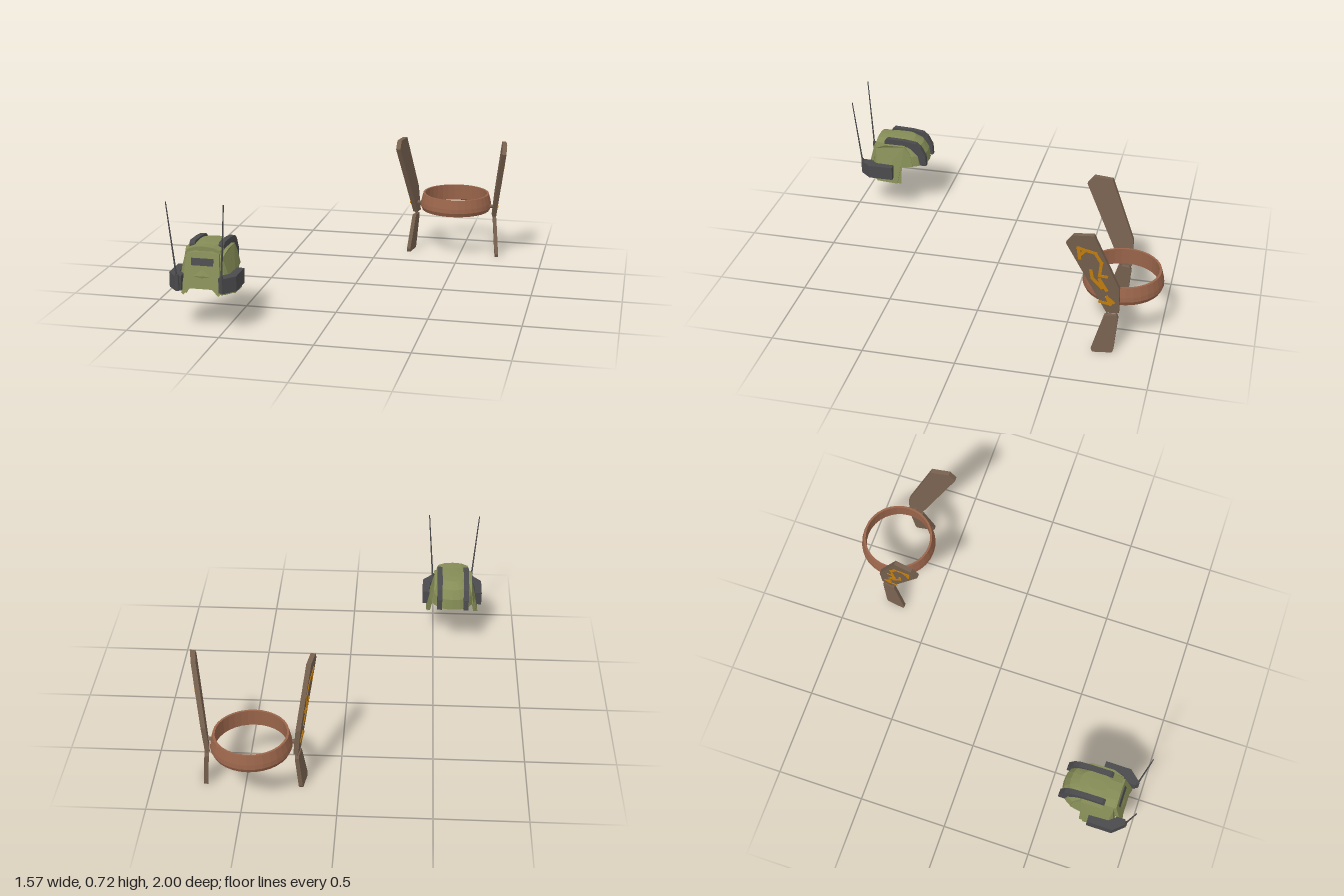
import * as THREE from 'three';
import { mergeGeometries } from 'three/addons/utils/BufferGeometryUtils.js';

const mat = (color, side = THREE.FrontSide) => new THREE.MeshStandardMaterial({ color, side, flatShading: true });
const WOOD = mat(0x99644a), PLATE = mat(0x77614f), GOLD = mat(0xc8820e);
const GREEN = mat(0x858c56), OPEN_GREEN = mat(0x858c56, THREE.DoubleSide), DARK = mat(0x4b4b4d);

// Move every vertex by a rule; flip the winding when the rule mirrors.
function warp(geo, rule, flip = false) {
  const g = geo.index ? geo.toNonIndexed() : geo;
  const p = g.attributes.position;
  for (let i = 0; i < p.count; i++) p.setXYZ(i, ...rule(p.getX(i), p.getY(i), p.getZ(i)));
  if (flip) {
    for (let i = 0; i < p.count; i += 3) {
      const a = [p.getX(i), p.getY(i), p.getZ(i)];
      p.setXYZ(i, p.getX(i + 1), p.getY(i + 1), p.getZ(i + 1));
      p.setXYZ(i + 1, ...a);
    }
  }
  g.computeVertexNormals();
  return g;
}

const slab = (points, depth) => new THREE.ExtrudeGeometry(
  new THREE.Shape(points.map(([a, b]) => new THREE.Vector2(a, b))), { depth, bevelEnabled: false });

// Side-on slab: points are (z, y); offset(z, y) is its distance from the centre plane.
const sideSlab = (points, depth, cx, s, offset) => warp(slab(points, depth),
  (u, v, w) => [cx + s * (offset(u, v) + w), v, u], s > 0);

function createModel() {
  const root = new THREE.Group();
  const add = (parent, name, geo, material) => {
    const m = new THREE.Mesh(geo, material);
    m.name = name;
    parent.add(m);
    return m;
  };
  const rod = (parent, name, a, b, r0, r1, material) => {
    const A = new THREE.Vector3(...a), B = new THREE.Vector3(...b), d = B.clone().sub(A);
    const m = add(parent, name, new THREE.CylinderGeometry(r1, r0, d.length(), 8), material);
    m.position.copy(A).add(B).multiplyScalar(0.5);
    m.quaternion.setFromUnitVectors(new THREE.Vector3(0, 1, 0), d.normalize());
  };

  // ---- Headband with winged side plates ----
  const band = new THREE.Group();
  band.name = 'headband';
  root.add(band);
  const bx = 0.457, bz = -0.785;
  const ringProfile = [[0.19, 0.27], [0.206, 0.262], [0.216, 0.285], [0.213, 0.31], [0.2, 0.362], [0.188, 0.362], [0.19, 0.27]];
  add(band, 'ring', new THREE.LatheGeometry(ringProfile.map(([r, y]) => new THREE.Vector2(r, y)), 32), WOOD)
    .position.set(bx, 0, bz);

  const upper = [[-0.528, 0.673], [-0.565, 0.72], [-0.667, 0.72], [-0.8, 0.389], [-0.8, 0.238], [-0.737, 0.238]];
  const lower = [[-0.726, 0.222], [-0.79, 0.222], [-0.798, 0.205], [-0.782, 0.012], [-0.775, 0], [-0.675, 0], [-0.667, 0.02]];
  const upperX = (z, y) => 0.224 + 0.095 * (y - 0.24) + 0.15 * (z + 0.77);
  const lowerX = (z, y) => 0.231 - 0.07 * (y - 0.22) + 0.15 * (z + 0.76);
  // Inlay strokes in (z, y)
  const strokes = [
    [[-0.597, 0.582], [-0.59, 0.645], [-0.675, 0.615], [-0.706, 0.556], [-0.698, 0.475], [-0.733, 0.47]],
    [[-0.597, 0.6], [-0.62, 0.625]],
    [[-0.655, 0.505], [-0.662, 0.46], [-0.71, 0.4], [-0.7, 0.45], [-0.734, 0.385]],
    [[-0.703, 0.31], [-0.755, 0.295], [-0.738, 0.34], [-0.77, 0.305]],
  ];
  const inlayQuads = [];
  for (const line of strokes) {
    for (let i = 1; i < line.length; i++) {
      const [a, b] = line[i - 1], [c, d] = line[i];
      const l = Math.hypot(c - a, d - b), ux = (c - a) / l * 0.008, uy = (d - b) / l * 0.008;
      inlayQuads.push([[a - ux - uy, b - uy + ux], [c + ux - uy, d + uy + ux], [c + ux + uy, d + uy - ux], [a - ux + uy, b - uy - ux]]);
    }
  }
  for (const s of [1, -1]) {
    const side = s > 0 ? 'left' : 'right';
    add(band, side + 'UpperPlate', sideSlab(upper, 0.026, bx, s, upperX), PLATE);
    add(band, side + 'LowerPlate', sideSlab(lower, 0.022, bx, s, lowerX), PLATE);
    add(band, side + 'Inlay', mergeGeometries(inlayQuads.map(
      q => sideSlab(q, 0.004, bx, s, (z, y) => upperX(z, y) + 0.0245))), GOLD);
    for (const z of [-0.737, -0.787])
      rod(band, side + 'Link', [bx + s * 0.24, 0.215, z], [bx + s * 0.236, 0.245, z], 0.004, 0.004, PLATE);
    rod(band, side + 'Pivot', [bx + s * 0.2, 0.295, -0.762], [bx + s * 0.235, 0.295, -0.762], 0.011, 0.011, PLATE);
  }

  // ---- Helmet ----
  const helmet = new THREE.Group();
  helmet.name = 'helmet';
  root.add(helmet);
  const hx = -0.608;
  const soft = t => Math.sign(t) * Math.abs(t) ** 0.8;
  // Rows: height, half width, back z, front z
  const rows = [[0.445, 0.03, 0.71, 0.8], [0.44, 0.07, 0.66, 0.84], [0.41, 0.102, 0.61, 0.88], [0.36, 0.123, 0.58, 0.9], [0.297, 0.135, 0.572, 0.925]];
  add(helmet, 'dome', warp(new THREE.CylinderGeometry(1, 1, 1, 24, 4), (x, y, z) => {
    const [h, w, b, f] = rows[Math.round((0.5 - y) * 4)];
    return [hx + w * soft(x), h, (b + f) / 2 + (f - b) / 2 * soft(z)];
  }), GREEN);

  // Skirt around the front half, arched over the face
  add(helmet, 'skirt', warp(new THREE.CylinderGeometry(1, 1, 1, 18, 1, true, -1.72, 3.44), (x, y, z) => {
    const top = y > 0, X = (top ? 0.135 : 0.152) * soft(x);
    const h = top ? 0.297 : Math.abs(X) < 0.08 ? 0.233 : 0.19;
    return [hx + X, h, 0.748 + (top ? 0.177 : 0.165) * soft(z)];
  }), OPEN_GREEN);

  // Sloping face plate and brim
  const slope = (x, y, z) => [hx + x, y, 0.917 - 0.26 * (y - 0.233) + z];
  const face = [[-0.058, 0.233], [0.058, 0.233], [0.095, 0.2], [0.105, 0.21], [0.086, 0.41], [0, 0.42], [-0.086, 0.41], [-0.105, 0.21], [-0.095, 0.2]];
  add(helmet, 'facePlate', warp(slab(face, 0.02), slope), GREEN);
  add(helmet, 'visor', warp(slab([[-0.058, 0.35], [0.058, 0.35], [0.06, 0.386], [-0.06, 0.386]], 0.006), (x, y, z) => slope(x, y, z + 0.018)), DARK);
  const brim = [[-0.1, 0.395], [-0.086, 0.41], [-0.05, 0.42], [0.05, 0.42], [0.086, 0.41], [0.1, 0.395], [0.09, 0.425], [0.05, 0.44], [0, 0.444], [-0.05, 0.44], [-0.09, 0.425]];
  add(helmet, 'brim', warp(slab(brim, 0.07), (x, y, z) => [hx + x, y, 0.81 + z]), GREEN);

  const panel = [[0.88, 0.39], [0.82, 0.42], [0.7, 0.42], [0.66, 0.37], [0.645, 0.297], [0.715, 0.297], [0.735, 0.19], [0.86, 0.197], [0.9, 0.21]];
  const panelX = (z, y) => 0.132 - 0.19 * (y - 0.19) - 0.9 * Math.max(0, z - 0.86) - 0.2 * Math.max(0, 0.71 - z);
  const ridge = [[0.825, 0.44], [0.81, 0.454], [0.7, 0.45], [0.63, 0.44], [0.6, 0.415], [0.572, 0.36], [0.568, 0.297], [0.625, 0.297], [0.64, 0.35], [0.67, 0.39], [0.73, 0.41], [0.825, 0.41]];
  const pod = [[0.18, 0.76], [0.14, 0.76], [0.135, 0.87], [0.1, 0.91], [0.1, 0.955], [0.125, 0.967], [0.18, 0.905]];
  for (const s of [1, -1]) {
    const side = s > 0 ? 'left' : 'right';
    add(helmet, side + 'SidePanel', sideSlab(panel, 0.026, hx, s, panelX), GREEN);
    add(helmet, side + 'Ridge', sideSlab(ridge, 0.03, hx, s, () => 0.064), DARK);
    add(helmet, side + 'EarPod', warp(slab(pod, 0.08), (u, v, w) => [hx + s * u, 0.224 + w, v], s > 0), DARK);
    rod(helmet, side + 'AntennaBase', [hx + s * 0.118, 0.23, 0.96], [hx + s * 0.118, 0.315, 0.962], 0.012, 0.009, DARK);
    rod(helmet, side + 'Antenna', [hx + s * 0.12, 0.3, 0.963], [hx + s * 0.152, 0.705, 0.997], 0.005, 0.003, DARK);
  }
  return root;
}

export { createModel };
